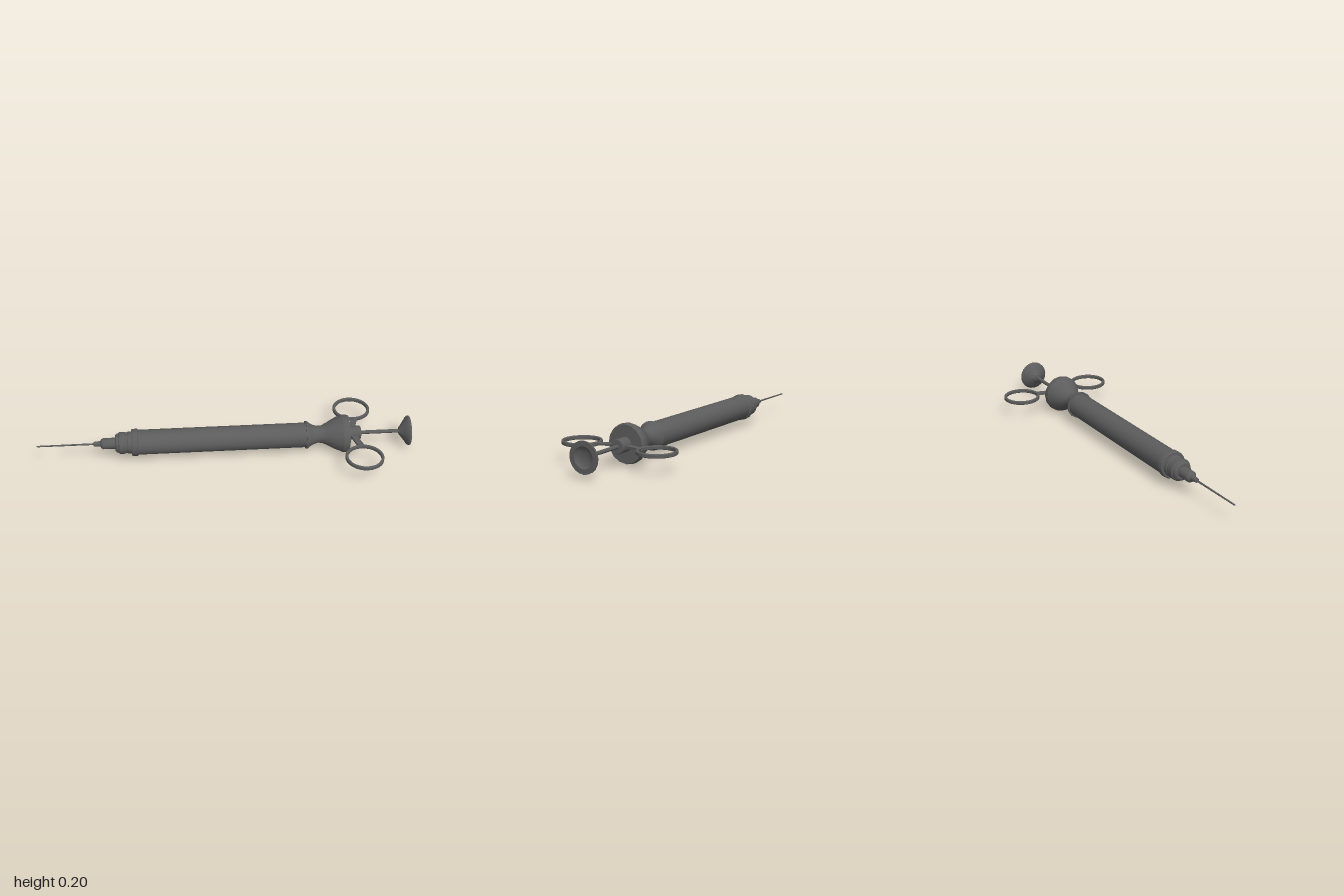
import * as THREE from 'three';
import { toCreasedNormals } from 'three/addons/utils/BufferGeometryUtils.js';

const AXIS_Y = 0.103;
const material = new THREE.MeshStandardMaterial({ color: 0x5c5c5c });

export function createModel() {
  const model = new THREE.Group();
  model.name = 'plungerSyringe';

  const add = (name, geometry, parent = model) => {
    const mesh = new THREE.Mesh(toCreasedNormals(geometry, 0.6), material);
    mesh.name = name;
    parent.add(mesh);
    return mesh;
  };

  // Turned part along the x axis; profile is [x, radius] from tip to thumb end
  const turned = (name, profile, sides = 16) => {
    const points = profile.map(([x, r]) => new THREE.Vector2(r, x));
    const geometry = new THREE.LatheGeometry(points, sides).rotateZ(-Math.PI / 2);
    return add(name, geometry.translate(0, AXIS_Y, 0));
  };

  // Needle and stepped nozzle
  turned('needle', [[-1, 0], [-0.99, 0.004], [-0.69, 0.005], [-0.69, 0]], 8);
  turned('needleHub', [
    [-0.695, 0], [-0.695, 0.012], [-0.66, 0.015], [-0.655, 0.024], [-0.645, 0.03],
    [-0.57, 0.03], [-0.57, 0],
  ]);
  turned('nozzleCollar', [
    [-0.58, 0], [-0.58, 0.042], [-0.574, 0.05], [-0.562, 0.053], [-0.558, 0.059],
    [-0.528, 0.059], [-0.524, 0.056], [-0.516, 0.056], [-0.512, 0.059],
    [-0.494, 0.059], [-0.494, 0.069], [-0.488, 0.073], [-0.463, 0.073],
    [-0.457, 0.067], [-0.457, 0],
  ]);

  // Barrel
  turned('barrel', [[-0.46, 0], [-0.46, 0.067], [0.445, 0.067], [0.445, 0]]);

  // Waisted grip flaring to the back plate
  turned('flaredGrip', [
    [0.437, 0], [0.437, 0.076], [0.445, 0.075], [0.46, 0.063], [0.48, 0.052],
    [0.502, 0.046], [0.525, 0.048], [0.55, 0.06], [0.585, 0.08], [0.61, 0.092],
    [0.625, 0.098], [0.632, 0.102], [0.655, 0.102], [0.667, 0.098], [0.667, 0],
  ]);

  // Plunger guide, rod and dished thumb rest
  turned('plungerGuide', [[0.66, 0], [0.66, 0.037], [0.732, 0.037], [0.735, 0.034], [0.735, 0]]);
  turned('plungerRod', [[0.72, 0], [0.72, 0.01], [0.955, 0.01], [0.955, 0]], 12);
  turned('thumbRest', [
    [0.944, 0], [0.944, 0.018], [0.952, 0.028], [0.97, 0.052], [0.987, 0.077],
    [0.992, 0.08], [1, 0.08], [1, 0.054], [0.99, 0.045], [0.984, 0.025], [0.982, 0],
  ], 20);

  // Finger rings and their arms, mirrored front and back
  for (const side of [1, -1]) {
    const handle = new THREE.Group();
    handle.name = side > 0 ? 'frontFingerHandle' : 'backFingerHandle';
    model.add(handle);

    const band = [
      [0.087, -0.007], [0.09, -0.01], [0.098, -0.01], [0.101, -0.007],
      [0.101, 0.007], [0.098, 0.01], [0.09, 0.01], [0.087, 0.007], [0.087, -0.007],
    ].map(([r, y]) => new THREE.Vector2(r, y));
    add('fingerRing', new THREE.LatheGeometry(band, 40), handle)
      .position.set(0.721, AXIS_Y, side * 0.22);

    const outline = new THREE.Shape([
      [0.678, 0.02], [0.714, 0.02], [0.722, 0.07], [0.739, 0.127], [0.704, 0.127], [0.69, 0.075],
    ].map(([x, z]) => new THREE.Vector2(x, side * z)));
    const arm = new THREE.ExtrudeGeometry(outline, { depth: 0.011, bevelEnabled: false });
    arm.rotateX(Math.PI / 2).translate(0, AXIS_Y + 0.0055, 0);
    add('ringArm', arm, handle);
  }

  return model;
}
